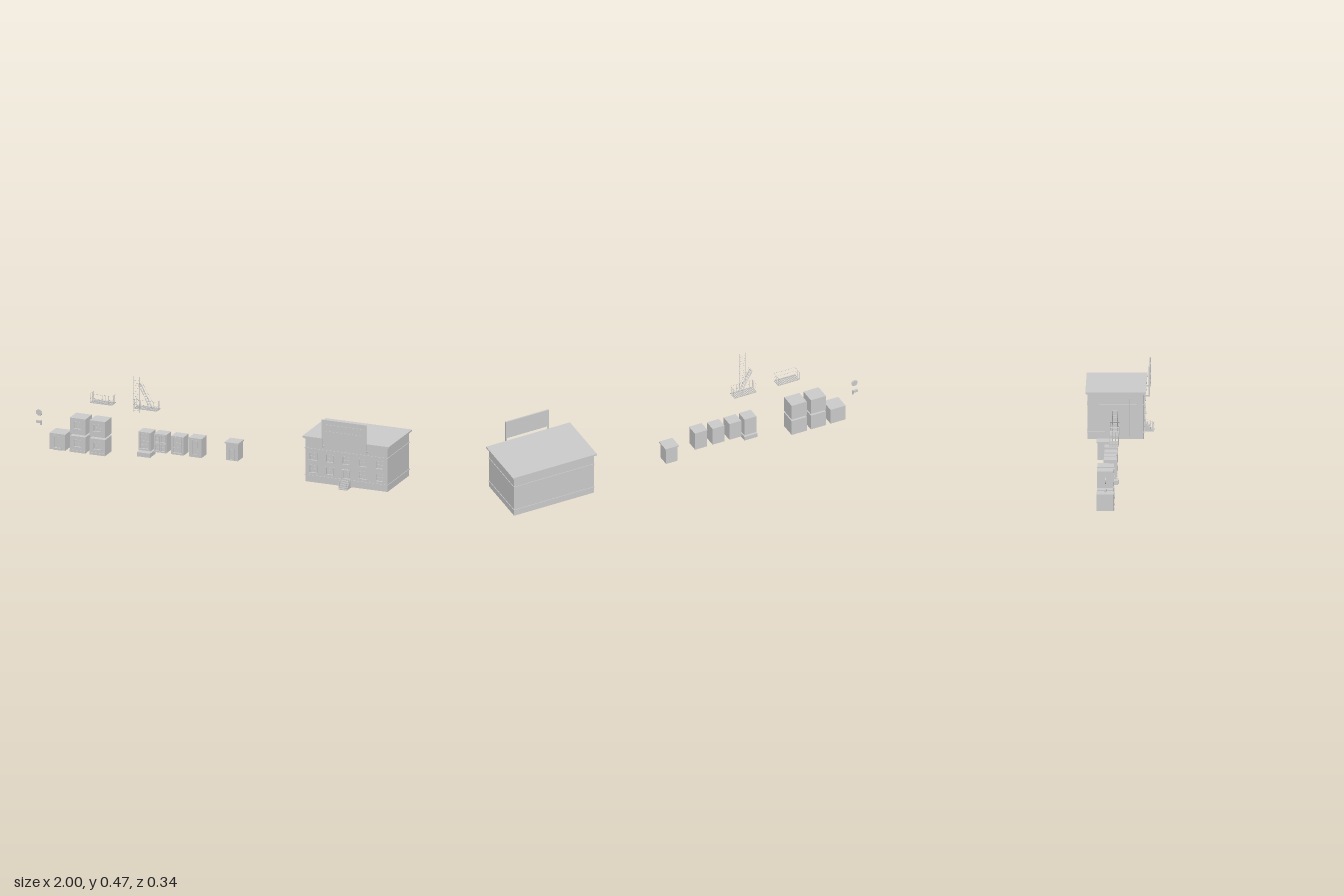
import * as THREE from 'three';

const mat = new THREE.MeshStandardMaterial({ color: 0xcccccc, flatShading: true, side: THREE.DoubleSide });

function group(parent, name) {
  const g = new THREE.Group();
  g.name = name;
  parent.add(g);
  return g;
}
function add(parent, name, geo) {
  const m = new THREE.Mesh(geo, mat);
  m.name = name;
  parent.add(m);
  return m;
}
// Box given by its extents
function box(parent, name, x0, x1, y0, y1, z0, z1) {
  const m = add(parent, name, new THREE.BoxGeometry(x1 - x0, y1 - y0, z1 - z0));
  m.position.set((x0 + x1) / 2, (y0 + y1) / 2, (z0 + z1) / 2);
  return m;
}
// Thin round bar between two points
function bar(parent, name, a, b, r = 0.0007) {
  const p = new THREE.Vector3(...a), q = new THREE.Vector3(...b);
  const m = add(parent, name, new THREE.CylinderGeometry(r, r, p.distanceTo(q), 6));
  m.position.copy(p).add(q).multiplyScalar(0.5);
  m.quaternion.setFromUnitVectors(new THREE.Vector3(0, 1, 0), q.sub(p).normalize());
  return m;
}
// Block whose front face has recessed openings [x0, x1, y0, y1]
function recessedBlock(parent, name, x0, x1, y0, y1, z0, z1, holes, depth = 0.006) {
  box(parent, name + 'Core', x0, x1, y0, y1, z0, z1 - depth);
  const rect = (P, a, b, c, d) => new P().moveTo(a, c).lineTo(b, c).lineTo(b, d).lineTo(a, d).closePath();
  const shape = rect(THREE.Shape, x0, x1, y0, y1);
  for (const h of holes) shape.holes.push(rect(THREE.Path, ...h));
  add(parent, name + 'Front', new THREE.ExtrudeGeometry(shape, { depth, bevelEnabled: false })).position.z = z1 - depth;
}
// Frame, mullions and sill for a recessed opening
function windowTrim(parent, [x0, x1, y0, y1], z, cols = 2, rows = 2, sill = true) {
  const g = group(parent, 'windowTrim'), t = 0.003, b = z - 0.005, f = z + 0.002;
  box(g, 'jamb', x0 - t, x0, y0 - t, y1 + t, b, f);
  box(g, 'jamb', x1, x1 + t, y0 - t, y1 + t, b, f);
  box(g, 'lintel', x0 - t, x1 + t, y1, y1 + t, b, f);
  if (sill) box(g, 'sill', x0 - 0.005, x1 + 0.005, y0 - 0.004, y0, b, z + 0.004);
  for (let i = 1; i < cols; i++) {
    const x = x0 + (x1 - x0) * i / cols;
    box(g, 'mullion', x - 0.001, x + 0.001, y0, y1, z - 0.006, z - 0.003);
  }
  for (let i = 1; i < rows; i++) {
    const y = y0 + (y1 - y0) * i / rows;
    box(g, 'transom', x0, x1, y - 0.001, y + 0.001, z - 0.006, z - 0.003);
  }
}
// Door leaf with frame and knob in a recessed opening
function door(parent, hole, z) {
  const [x0, x1, y0, y1] = hole, g = group(parent, 'door');
  windowTrim(g, hole, z, 1, 1, false);
  box(g, 'doorLeaf', x0 + 0.002, x1 - 0.002, y0, y1 - 0.002, z - 0.006, z - 0.004);
  box(g, 'doorPanel', x0 + 0.006, x1 - 0.006, (y0 + y1) / 2, y1 - 0.006, z - 0.004, z - 0.003);
  box(g, 'doorKnob', x1 - 0.006, x1 - 0.004, y0 + 0.018, y0 + 0.02, z - 0.004, z - 0.001);
}
// Band running around a body, overhanging by o
function band(parent, name, [x0, x1, z0, z1], y0, y1, o) {
  box(parent, name, x0 - o, x1 + o, y0, y1, z0 - o, z1 + o);
}

function building(root) {
  const g = group(root, 'building'), plan = [0.537, 0.985, -0.16, 0.122], z = 0.122;
  const windows = [], doorHole = [0.745, 0.777, 0.098, 0.137];
  for (let c = 0; c < 5; c++) {
    const x = 0.581 + c * 0.09;
    if (c !== 2) windows.push([x - 0.019, x + 0.019, 0.106, 0.143]);
    windows.push([x - 0.019, x + 0.019, 0.172, 0.209]);
  }
  recessedBlock(g, 'walls', plan[0], plan[1], 0.055, 0.287, plan[2], z, [...windows, doorHole]);
  windows.forEach(h => windowTrim(g, h, z));
  door(g, doorHole, z);
  box(g, 'doorCanopy', 0.737, 0.785, 0.141, 0.145, z, 0.132);
  band(g, 'plinthBand', plan, 0.088, 0.092, 0.003);
  band(g, 'upperBand', plan, 0.230, 0.234, 0.003);
  band(g, 'corniceLower', plan, 0.283, 0.286, 0.004);
  band(g, 'corniceMiddle', plan, 0.286, 0.289, 0.007);
  band(g, 'corniceTop', plan, 0.289, 0.297, 0.0115);

  // Blank board held in front of the roof edge
  const s = group(g, 'signBoard');
  box(s, 'board', 0.637, 0.88, 0.303, 0.403, 0.145, 0.152);
  for (const y of [0.325, 0.36]) box(s, 'blankStrip', 0.66, 0.857, y, y + 0.02, 0.152, 0.1545);
  for (const x of [0.637, 0.874]) {
    box(s, 'post', x, x + 0.006, 0.253, 0.303, 0.145, 0.152);
    box(s, 'bracket', x, x + 0.006, 0.253, 0.259, z, 0.146);
  }

  // Entrance steps with railings
  const e = group(g, 'entranceSteps');
  box(e, 'base', 0.738, 0.784, 0.051, 0.056, 0.103, 0.171);
  for (let i = 0; i < 5; i++) box(e, 'step', 0.738, 0.784, 0.055, 0.063 + i * 0.0085, z, 0.162 - i * 0.008);
  for (const x of [0.739, 0.783]) {
    bar(e, 'handrail', [x, 0.087, 0.173], [x, 0.107, 0.124]);
    for (let i = 0; i < 6; i++) {
      const pz = 0.169 - i * 0.008;
      bar(e, 'baluster', [x, 0.055 + i * 0.008, pz], [x, 0.0885 + i * 0.0033, pz]);
    }
  }
}

// Railed platform open at the back
function balcony(parent, name, x0, x1) {
  const g = group(parent, name), z0 = -0.033, z1 = 0.015, y0 = 0.28, y1 = 0.328;
  for (const z of [z0, z1 - 0.002]) box(g, 'floorBeam', x0, x1, y0, y0 + 0.005, z, z + 0.002);
  for (let i = 0; i <= 16; i++) {
    const x = x0 + (x1 - x0 - 0.003) * i / 16;
    box(g, 'floorSlat', x, x + 0.003, y0 + 0.002, y0 + 0.005, z0, z1);
  }
  const rail = (a, b, n) => {
    for (const y of [y1, 0.305]) bar(g, 'rail', [a[0], y, a[1]], [b[0], y, b[1]]);
    for (let i = 0; i <= n; i++) {
      const x = a[0] + (b[0] - a[0]) * i / n, z = a[1] + (b[1] - a[1]) * i / n;
      bar(g, 'railPost', [x, y0, z], [x, y1, z]);
    }
  };
  rail([x0 + 0.001, z1 - 0.001], [x1 - 0.001, z1 - 0.001], 7);
  for (const x of [x0 + 0.001, x1 - 0.001]) rail([x, z0 + 0.001], [x, z1 - 0.001], 3);
  return g;
}

function fireEscape(root) {
  balcony(root, 'balcony', -0.68, -0.56);
  const g = balcony(root, 'fireEscape', -0.44, -0.315);
  // Sloping stair
  const stair = group(g, 'slopingStair');
  for (const z of [-0.02, 0.005]) {
    bar(stair, 'stringer', [-0.355, 0.283, z], [-0.42, 0.408, z], 0.0015);
    bar(stair, 'stairRail', [-0.348, 0.305, z], [-0.414, 0.417, z]);
  }
  for (let i = 1; i < 11; i++) {
    const x = -0.355 - 0.0065 * i, y = 0.283 + 0.0125 * i;
    box(stair, 'tread', x - 0.004, x + 0.004, y - 0.0006, y + 0.0006, -0.02, 0.005);
  }
  // Upright ladder
  const l = group(root, 'ladder');
  for (const x of [-0.424, -0.391]) bar(l, 'ladderSide', [x, 0.28, 0.064], [x, 0.47, 0.064], 0.001);
  for (let i = 0; i < 12; i++) bar(l, 'rung', [-0.424, 0.29 + i * 0.0145, 0.064], [-0.391, 0.29 + i * 0.0145, 0.064]);
}

function wallBlocks(root) {
  // Large blocks: a door block and four window blocks
  const big = group(root, 'largeWallBlocks'), z0 = -0.092, z1 = -0.008;
  const dh = [-0.883, -0.853, 0.012, 0.07];
  recessedBlock(big, 'doorBlock', -0.91, -0.825, 0, 0.085, z0, z1, [dh]);
  door(big, dh, z1);
  box(big, 'doorStep', -0.89, -0.846, 0, 0.011, z1, z1 + 0.005);
  for (const x of [-0.8, -0.692]) for (const y of [0, 0.095]) {
    const h = [x + 0.023, x + 0.062, y + 0.03, y + 0.064];
    recessedBlock(big, 'windowBlock', x, x + 0.085, y, y + 0.085, z0, z1, [h]);
    windowTrim(big, h, z1);
    if (!y) box(big, 'footBand', x, x + 0.085, 0, 0.012, z1, z1 + 0.003);
  }

  // Narrow blocks with tall openings
  const small = group(root, 'narrowWallBlocks');
  const block = (x, holes, trim) => {
    const hs = holes.map(([a, b, c, d]) => [x + a, x + b, c, d]);
    recessedBlock(small, 'narrowBlock', x, x + 0.067, 0.06, 0.157, -0.064, 0, hs);
    hs.forEach(h => trim(small, h, 0));
  };
  block(-0.423, [[0.01, 0.057, 0.07, 0.148]], (g, h, z) => windowTrim(g, h, z, 2, 4));
  block(-0.338, [[0.008, 0.029, 0.068, 0.102], [0.038, 0.059, 0.068, 0.102],
    [0.008, 0.029, 0.114, 0.149], [0.038, 0.059, 0.114, 0.149]], (g, h, z) => windowTrim(g, h, z, 1, 2));
  block(-0.244, [[0.012, 0.055, 0.07, 0.147]], (g, h, z) => windowTrim(g, h, z, 2, 3));
  block(-0.146, [[0.016, 0.051, 0.073, 0.148]], door);
  box(small, 'doorBlockCap', -0.148, -0.077, 0.157, 0.161, -0.065, 0.002);
  box(root, 'lowPlinth', -0.428, -0.356, 0.028, 0.05, -0.064, 0.009);
}

function kiosk(root) {
  const g = group(root, 'roofKiosk'), plan = [0.038, 0.103, -0.102, -0.037];
  const h = [0.056, 0.084, 0.058, 0.112];
  recessedBlock(g, 'kioskWalls', plan[0], plan[1], 0.055, 0.142, plan[2], plan[3], [h]);
  door(g, h, plan[3]);
  band(g, 'kioskCornice', plan, 0.14, 0.144, 0.002);
  band(g, 'kioskRoof', plan, 0.144, 0.15, 0.005);
}

function wallFixtures(root) {
  // Round dish with a raised rim
  const d = group(root, 'roundDish');
  d.position.set(-0.983, 0.172, -0.046);
  add(d, 'dishPlate', new THREE.CylinderGeometry(0.015, 0.015, 0.006, 24)).rotation.x = Math.PI / 2;
  add(d, 'dishRim', new THREE.TorusGeometry(0.0145, 0.0025, 8, 24));
  // Small wall lamp
  const l = group(root, 'wallLamp');
  box(l, 'lampBody', -0.999, -0.973, 0.117, 0.129, -0.052, -0.042);
  box(l, 'lampBracket', -0.977, -0.969, 0.106, 0.131, -0.049, -0.045);
}

export function createModel() {
  const root = new THREE.Group();
  root.name = 'buildingKit';
  building(root);
  fireEscape(root);
  wallBlocks(root);
  kiosk(root);
  wallFixtures(root);
  return root;
}
